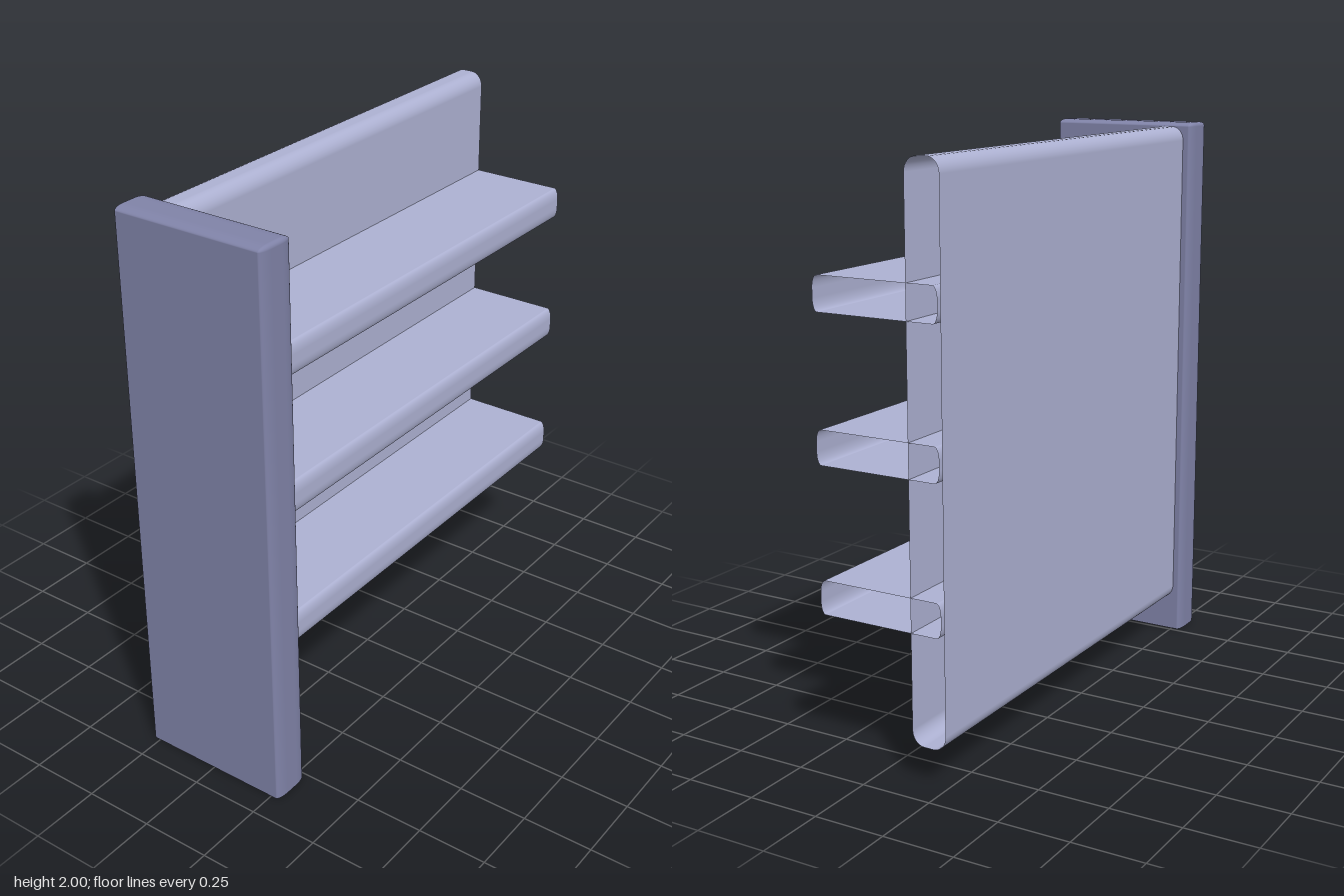
import * as THREE from 'three';

const STEPS = 8; // segments per rounded corner

// Hollow upright tube with elliptically rounded corners (rx by rz), standing on y = 0.
// With ry > 0 the top is closed by a rounded edge and a flat cap; otherwise both ends are open.
function roundedTube(width, depth, length, rx, rz, ry = 0) {
  const rings = [{ y: 0, t: 0 }, { y: length - ry, t: 0 }];
  if (ry > 0) {
    for (let k = 1; k <= STEPS; k++) {
      const t = (k / STEPS) * Math.PI / 2;
      rings.push({ y: length - ry + ry * Math.sin(t), t });
    }
  }
  const positions = [], normals = [], index = [];
  const count = 4 * (STEPS + 1);
  const cx = width / 2 - rx, cz = depth / 2 - rz;
  for (const { y, t } of rings) {
    for (let corner = 0; corner < 4; corner++) {
      const sx = corner === 0 || corner === 3 ? 1 : -1;
      const sz = corner < 2 ? 1 : -1;
      for (let k = 0; k <= STEPS; k++) {
        const a = (corner + k / STEPS) * Math.PI / 2;
        const c = Math.cos(a) * Math.cos(t), s = Math.sin(a) * Math.cos(t);
        positions.push(sx * cx + rx * c, y, sz * cz + rz * s);
        const n = new THREE.Vector3(c / rx, ry > 0 ? Math.sin(t) / ry : 0, s / rz).normalize();
        normals.push(n.x, n.y, n.z);
      }
    }
  }
  for (let j = 0; j < rings.length - 1; j++) {
    for (let i = 0; i < count; i++) {
      const a = j * count + i, b = j * count + (i + 1) % count;
      index.push(a, a + count, b, b, a + count, b + count);
    }
  }
  if (ry > 0) {
    const centre = positions.length / 3, last = (rings.length - 1) * count;
    positions.push(0, length, 0);
    normals.push(0, 1, 0);
    for (let i = 0; i < count; i++) index.push(last + i, centre, last + (i + 1) % count);
  }
  const geometry = new THREE.BufferGeometry();
  geometry.setAttribute('position', new THREE.Float32BufferAttribute(positions, 3));
  geometry.setAttribute('normal', new THREE.Float32BufferAttribute(normals, 3));
  geometry.setIndex(index);
  return geometry;
}

export function createModel() {
  const group = new THREE.Group();
  const postMaterial = new THREE.MeshStandardMaterial({ color: 0x8083a8, side: THREE.DoubleSide });
  postMaterial.name = 'slate lavender';
  const shelfMaterial = new THREE.MeshStandardMaterial({ color: 0xadb1d2, side: THREE.DoubleSide });
  shelfMaterial.name = 'pale lavender';

  function add(name, geometry, material, x, y, z) {
    const mesh = new THREE.Mesh(geometry, material);
    mesh.name = name;
    mesh.position.set(x, y, z);
    group.add(mesh);
  }

  // Upright end post, open underneath
  add('endPost', roundedTube(0.14, 0.57, 2, 0.045, 0.015, 0.015), postMaterial, -0.835, 0, 0);

  // Back panel and shelves run sideways from the post, with open ends
  const left = -0.77, span = 1.675;
  const sideways = (height, depth, ry, rz) =>
    roundedTube(height, depth, span, ry, rz).rotateZ(-Math.PI / 2);

  add('backPanel', sideways(1.855, 0.124, 0.05, 0.045), shelfMaterial, left, 1.0575, -0.19);

  const shelf = sideways(0.116, 0.46, 0.042, 0.017);
  [0.562, 1.06, 1.55].forEach((y, i) => {
    add(`shelf${i + 1}`, shelf, shelfMaterial, left, y, -0.01);
  });

  return group;
}
